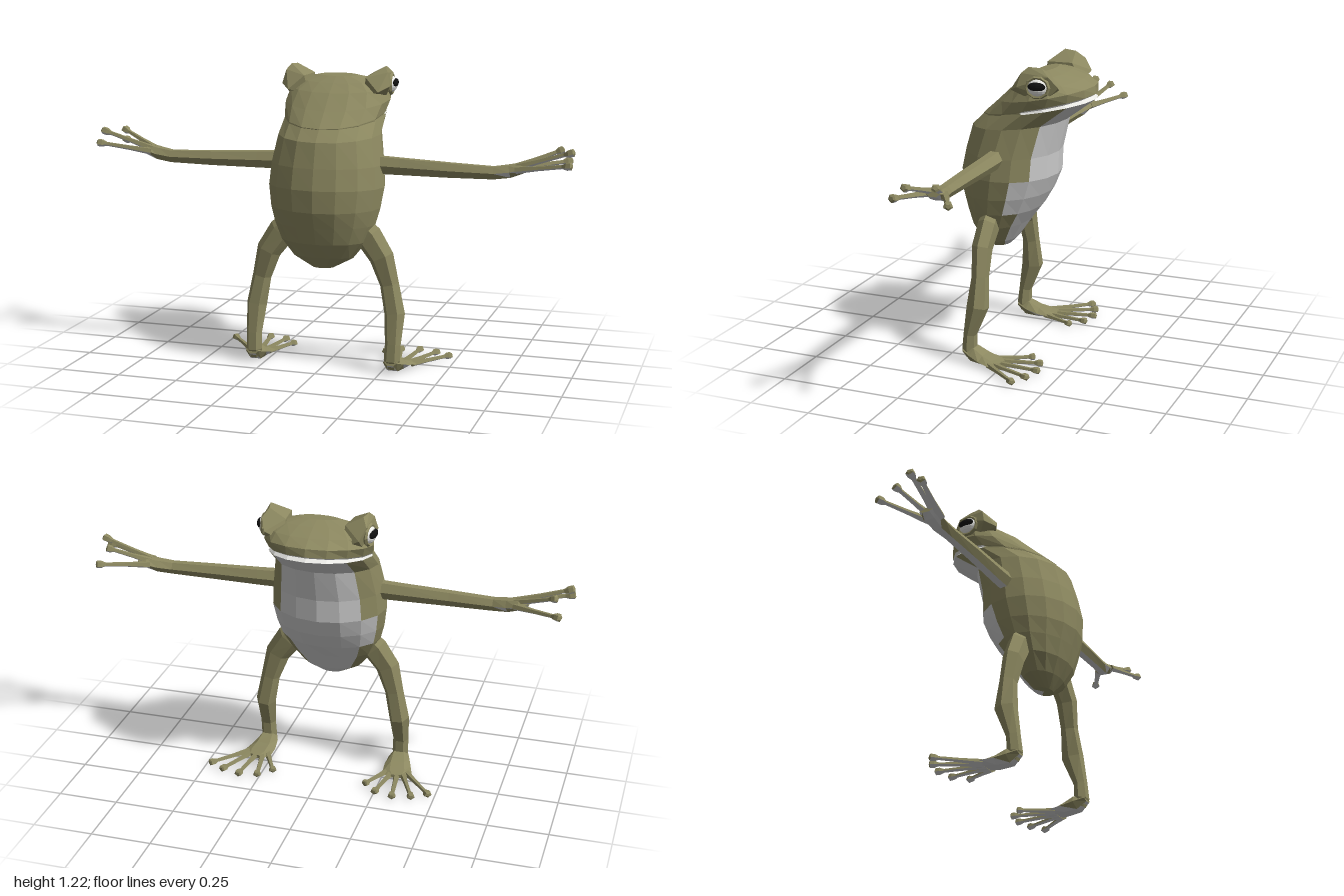
import * as THREE from 'three';
import { ConvexGeometry } from 'three/addons/geometries/ConvexGeometry.js';

const V = (x, y, z) => new THREE.Vector3(x, y, z);
const mat = (color) => new THREE.MeshStandardMaterial({ color, flatShading: true });
const skin = mat(0x8c8860), pale = mat(0xcccccc), white = mat(0xe8e8e4), black = mat(0x101010);

function add(parent, name, geometry, material) {
  const mesh = new THREE.Mesh(geometry, material);
  mesh.name = name;
  parent.add(mesh);
  return mesh;
}

// Capped skin over rings of points; pick(normal, row, column) chooses each face's material
function loft(parent, name, rings, pick) {
  const n = rings[0].length, tris = [];
  for (let i = 0; i < rings.length - 1; i++) {
    for (let j = 0; j < n; j++) {
      const k = (j + 1) % n, a = rings[i], b = rings[i + 1];
      tris.push([a[j], a[k], b[k], i, j], [a[j], b[k], b[j], i, j]);
    }
  }
  const last = rings.length - 1;
  for (const row of [0, last]) {
    const ring = rings[row], c = V(0, 0, 0);
    ring.forEach((p) => c.addScaledVector(p, 1 / n));
    for (let j = 0; j < n; j++) {
      const k = (j + 1) % n;
      tris.push(row ? [c, ring[j], ring[k], row, j] : [c, ring[k], ring[j], row, j]);
    }
  }
  // Turn all faces outward
  let volume = 0;
  for (const [a, b, c] of tris) volume += a.dot(b.clone().cross(c));
  const groups = new Map();
  for (const [a, p, q, i, j] of tris) {
    const [b, c] = volume > 0 ? [p, q] : [q, p];
    const normal = b.clone().sub(a).cross(c.clone().sub(a)).normalize();
    const m = pick(normal, i, j);
    if (!groups.has(m)) groups.set(m, []);
    groups.get(m).push(a, b, c);
  }
  const group = new THREE.Group();
  group.name = name;
  for (const [m, points] of groups) {
    const g = new THREE.BufferGeometry().setFromPoints(points);
    g.computeVertexNormals();
    add(group, name + (m === skin ? 'Skin' : m === pale ? 'Underside' : 'Lips'), g, m);
  }
  parent.add(group);
}

// Limb along stations [x, y, z, radius across, radius along ref]
function limb(parent, name, side, stations, ref, sides = 6) {
  const pts = stations.map(([x, y, z]) => V(x * side, y, z));
  const rings = stations.map(([, , , ra, rb], i) => {
    const t = pts[Math.min(i + 1, pts.length - 1)].clone().sub(pts[Math.max(i - 1, 0)]).normalize();
    const u = ref.clone().addScaledVector(t, -ref.dot(t)).normalize();
    const v = t.clone().cross(u);
    return Array.from({ length: sides }, (_, j) => {
      const a = ((j + 0.5) / sides) * Math.PI * 2;
      return pts[i].clone().addScaledVector(u, Math.cos(a) * rb).addScaledVector(v, Math.sin(a) * ra);
    });
  });
  loft(parent, name, rings, (normal) => (normal.y < -0.6 ? pale : skin));
}

// Finger or toe with a swollen tip
function digit(parent, name, side, from, to, r, flat) {
  const a = V(...from), b = V(...to);
  const stations = [[0, 1.4], [0.4, 0.95], [0.82, 0.8], [0.9, 1.5], [0.98, 1.5], [1, 0.8]].map(([t, s]) => {
    const p = a.clone().lerp(b, t);
    return [p.x, p.y, p.z, r * s, r * s * flat];
  });
  limb(parent, name, side, stations, V(0, 1, 0), 5);
}

function buildBody(parent) {
  // Tilted rings: back z, back y, front z, front y, half width
  const rows = [
    [0.165, 0.42, 0.09, 0.425, 0.05],
    [0.2, 0.47, 0.06, 0.455, 0.125],
    [0.235, 0.53, 0.005, 0.535, 0.18],
    [0.257, 0.6, -0.045, 0.6, 0.21],
    [0.277, 0.665, -0.087, 0.67, 0.228],
    [0.28, 0.755, -0.118, 0.745, 0.24],
    [0.262, 0.84, -0.122, 0.84, 0.233],
    [0.235, 0.94, -0.155, 0.975, 0.212],
    [0.19, 0.985, -0.277, 1.066, 0.208], // lower lip
    [0.19, 0.986, -0.258, 1.076, 0.205], // mouth gap
    [0.19, 0.988, -0.278, 1.088, 0.208], // upper lip
    [0.12, 1.05, -0.273, 1.12, 0.22],
    [0.05, 1.115, -0.225, 1.145, 0.205],
    [0, 1.15, -0.16, 1.168, 0.16],
    [-0.04, 1.175, -0.11, 1.182, 0.08],
  ];
  const n = 16;
  const rings = rows.map(([bz, by, fz, fy, w]) => Array.from({ length: n }, (_, j) => {
    const a = (j / n) * Math.PI * 2, t = (1 + Math.cos(a)) / 2;
    return V(Math.sin(a) * w, by + (fy - by) * t, bz + (fz - bz) * t);
  }));
  loft(parent, 'body', rings, (normal, i, j) => {
    const fromFront = Math.min(j, n - 1 - j);
    if (i === 8 || i === 9) return fromFront < 4 ? white : skin;
    if (i < 8 && fromFront < 2) return pale;
    return (i === 3 || i === 4) && fromFront === 2 ? pale : skin;
  });
}

function buildEye(parent, s) {
  // Brow mound
  const mound = [
    [0.2, 1.218, -0.07], [0.19, 1.215, -0.12], [0.215, 1.195, -0.045], [0.21, 1.185, -0.155],
    [0.228, 1.14, -0.03], [0.19, 1.14, -0.19], [0.205, 1.1, -0.06], [0.195, 1.1, -0.15],
    [0.13, 1.175, -0.02], [0.12, 1.178, -0.13], [0.12, 1.1, -0.04], [0.12, 1.1, -0.17],
    [0.19, 1.12, 0.01],
  ].map(([x, y, z]) => V(x * s, y, z));
  add(parent, 'brow', new ConvexGeometry(mound), skin);

  const eye = new THREE.Group();
  eye.name = 'eye';
  eye.position.set(0.207 * s, 1.142, -0.112);
  eye.rotation.y = s * (Math.PI / 2 + 0.12);
  add(eye, 'eyeball', new THREE.SphereGeometry(1, 14, 10), white).scale.set(0.042, 0.036, 0.032);
  const pupil = add(eye, 'pupil', new THREE.SphereGeometry(1, 12, 8), black);
  pupil.scale.set(0.036, 0.018, 0.014);
  pupil.position.set(0, 0.006, 0.022);
  const lid = add(eye, 'eyelid', new THREE.TorusGeometry(0.043, 0.009, 5, 10), skin);
  lid.scale.y = 0.9;
  lid.position.z = 0.006;
  parent.add(eye);
}

function buildArm(parent, s) {
  limb(parent, 'arm', s, [
    [0.14, 0.84, 0.065, 0.036, 0.042], [0.3, 0.836, 0.066, 0.033, 0.038],
    [0.5, 0.832, 0.07, 0.031, 0.033], [0.68, 0.83, 0.068, 0.029, 0.028],
    [0.74, 0.838, 0.058, 0.036, 0.028], [0.79, 0.852, 0.05, 0.044, 0.022],
    [0.82, 0.862, 0.05, 0.03, 0.014],
  ], V(0, 1, 0));
  const tips = [[0.965, 0.868, -0.08], [0.94, 0.922, -0.02], [0.995, 0.928, 0.078], [0.995, 0.882, 0.128]];
  tips.forEach((tip, i) => {
    digit(parent, 'finger', s, [0.77, 0.848 + (i === 1 || i === 2 ? 0.008 : 0), 0.025 + i * 0.02], tip, 0.012, 0.9);
  });
}

function buildLeg(parent, s) {
  limb(parent, 'leg', s, [
    [0.13, 0.6, 0.11, 0.05, 0.035], [0.185, 0.55, 0.11, 0.058, 0.042],
    [0.24, 0.47, 0.115, 0.052, 0.04], [0.272, 0.36, 0.11, 0.04, 0.034],
    [0.295, 0.24, 0.112, 0.043, 0.046], [0.297, 0.12, 0.145, 0.033, 0.027],
    [0.295, 0.055, 0.15, 0.034, 0.03], [0.295, 0.025, 0.14, 0.025, 0.025],
  ], V(0, 0, 1));
  limb(parent, 'foot', s, [
    [0.295, 0.05, 0.172, 0.026, 0.014], [0.295, 0.036, 0.13, 0.044, 0.034],
    [0.3, 0.023, 0.08, 0.056, 0.022], [0.31, 0.017, 0.03, 0.062, 0.013],
    [0.315, 0.015, 0, 0.04, 0.009],
  ], V(0, 1, 0));
  const tips = [[0.2, -0.1], [0.255, -0.155], [0.335, -0.172], [0.415, -0.153], [0.48, -0.115]];
  tips.forEach(([x, z], i) => {
    digit(parent, 'toe', s, [0.27 + i * 0.02, 0.014, 0.04], [x, 0.018, z], 0.011, 0.85);
  });
}

export function createModel() {
  const model = new THREE.Group();
  model.name = 'frog';
  buildBody(model);
  for (const s of [1, -1]) {
    const half = new THREE.Group();
    half.name = s > 0 ? 'plusXSide' : 'minusXSide';
    buildEye(half, s);
    buildArm(half, s);
    buildLeg(half, s);
    model.add(half);
  }
  return model;
}
